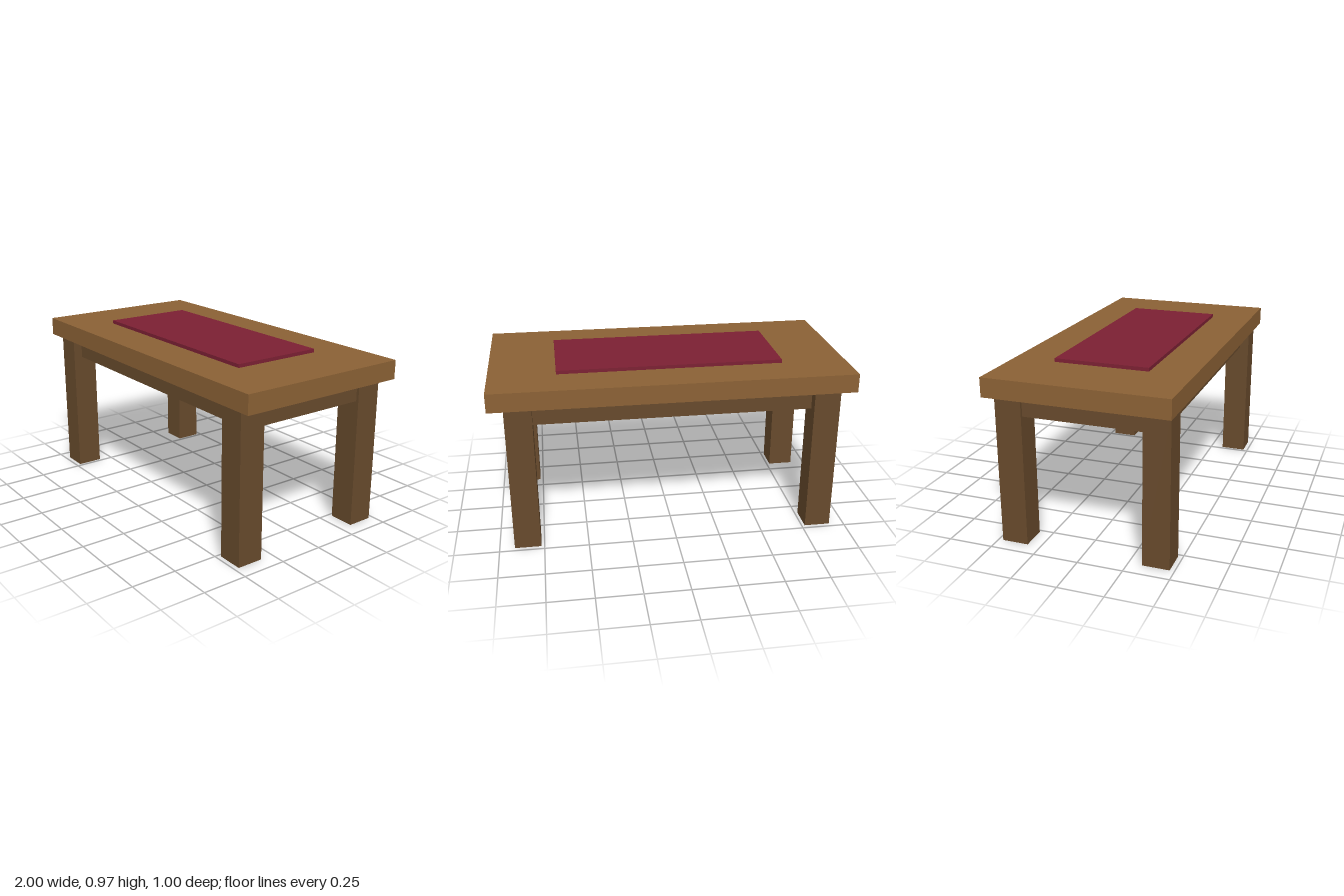
import * as THREE from 'three';

export function createModel() {
  const table = new THREE.Group();
  table.name = 'table';

  const material = (name, color) => {
    const m = new THREE.MeshStandardMaterial({ color });
    m.name = name;
    return m;
  };
  const topWood = material('light wood', 0x8b6135);
  const darkWood = material('dark wood', 0x674a2c);
  const cloth = material('crimson cloth', 0x7c2033);

  // Box given by its size, its bottom height and its centre on the floor plan
  const box = (name, mat, w, h, d, bottom, x = 0, z = 0) => {
    const mesh = new THREE.Mesh(new THREE.BoxGeometry(w, h, d), mat);
    mesh.name = name;
    mesh.position.set(x, bottom + h / 2, z);
    table.add(mesh);
  };

  box('tableTop', topWood, 2, 0.105, 1, 0.843);
  box('runner', cloth, 1.26, 0.02, 0.525, 0.948);

  // Solid apron, set slightly in from the legs and just below the top
  box('apron', darkWood, 1.8, 0.105, 0.84, 0.727);

  // Four square legs
  for (const [sideName, sx] of [['Left', 1], ['Right', -1]]) {
    for (const [endName, sz] of [['front', 1], ['back', -1]]) {
      box(`${endName}${sideName}Leg`, darkWood, 0.147, 0.843, 0.147, 0, sx * 0.842, sz * 0.4);
    }
  }

  return table;
}
